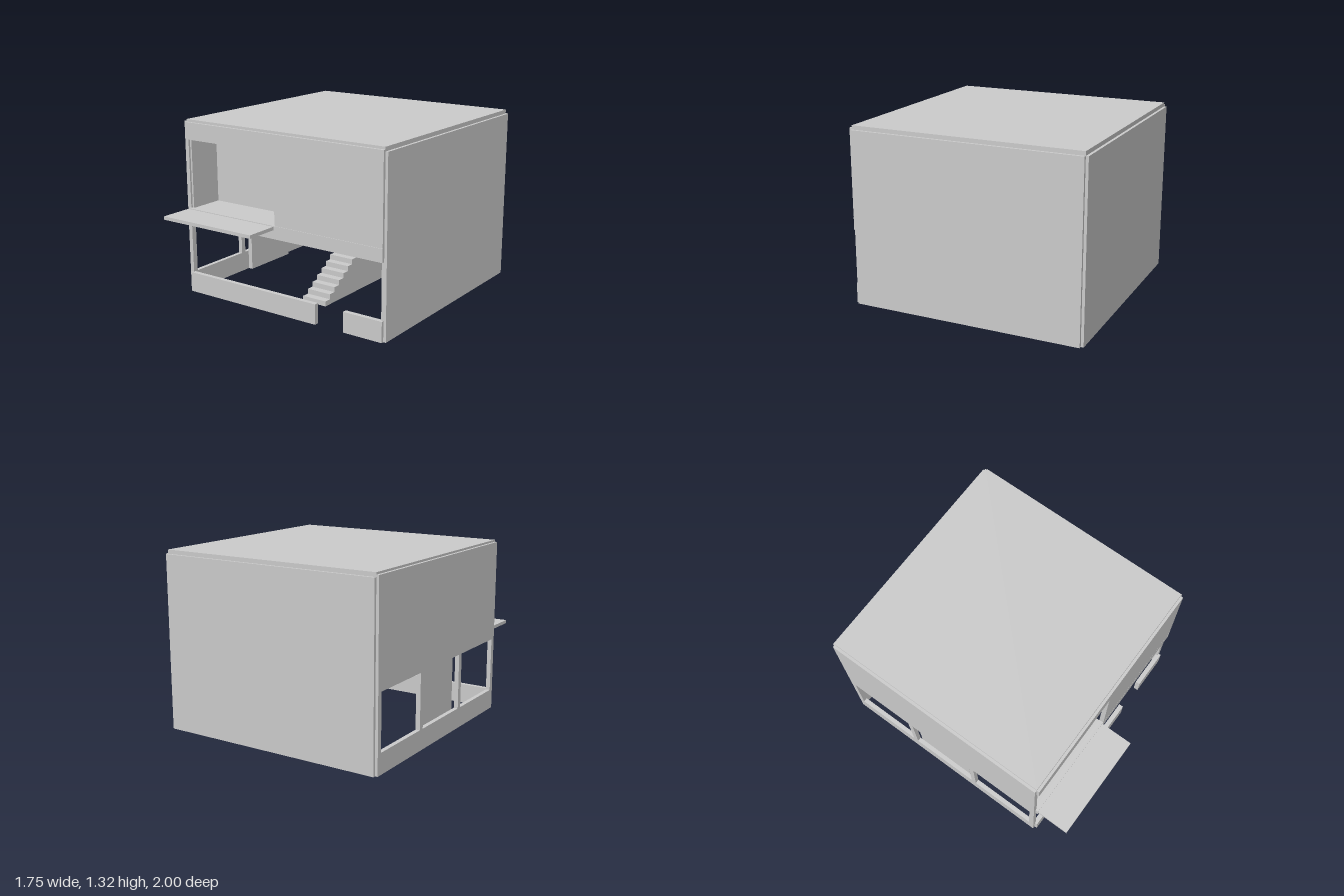
import * as THREE from 'three';

const material = new THREE.MeshStandardMaterial({ color: 0xcccccc, flatShading: true });

export function createModel() {
  const house = new THREE.Group();
  house.name = 'house';

  // Box given by its limits along each axis
  function slab(name, [x0, x1], [y0, y1], [z0, z1], parent = house) {
    const mesh = new THREE.Mesh(new THREE.BoxGeometry(x1 - x0, y1 - y0, z1 - z0), material);
    mesh.position.set((x0 + x1) / 2, (y0 + y1) / 2, (z0 + z1) / 2);
    mesh.name = name;
    parent.add(mesh);
    return mesh;
  }
  function part(name) {
    const group = new THREE.Group();
    group.name = name;
    house.add(group);
    return group;
  }

  const width = [-0.855, 0.855];
  const depth = [-0.98, 0.73];
  const frontZ = [0.715, 0.75];

  // Closed shell
  slab('roof', width, [1.285, 1.315], depth);
  slab('backWall', width, [0, 1.285], [-1, -0.965]);
  slab('rightWall', [0.837, 0.875], [0, 1.285], depth);

  // Left wall: low sill, posts and upper wall
  const left = part('leftWall');
  const leftX = [-0.875, -0.843];
  slab('leftSill', leftX, [0, 0.15], depth, left);
  slab('leftUpperWall', leftX, [0.555, 1.3], depth, left);
  for (const z of [-0.98, -0.43, 0.14, 0.69]) {
    slab('leftPost', leftX, [0.15, 0.555], [z, z + 0.04], left);
  }
  slab('leftInnerPanel', [-0.843, -0.808], [0, 0.61], [-0.37, 0.1], left);

  // Front wall: sills beside the entrance, floor band, upper wall and lintel
  const front = part('frontWall');
  slab('frontSillLong', [-0.855, 0.31], [0, 0.15], frontZ, front);
  slab('frontSillShort', [0.545, 0.855], [0, 0.15], frontZ, front);
  slab('frontBand', width, [0.555, 0.65], frontZ, front);
  slab('frontUpperWall', [-0.035, 0.855], [0.655, 1.17], frontZ, front);
  slab('frontUpperWallFoot', [-0.035, 0.855], [0.65, 0.655], [0.715, 0.745], front);
  slab('frontLintel', width, [1.17, 1.297], frontZ, front);

  // Balcony and upper floor with an open stairwell
  slab('balcony', [-0.855, -0.045], [0.62, 0.645], [0.75, 1]);
  slab('upperFloor', [-0.845, -0.037], [0.61, 0.648], [-0.97, 0.72]);
  slab('landing', [-0.037, 0.84], [0.61, 0.648], [-0.97, -0.48]);

  // Recess behind the balcony
  slab('recessBackWall', [-0.843, -0.2], [0.648, 1.285], [0.42, 0.45]);
  slab('recessSideWall', [-0.843, -0.829], [0.648, 1.285], [0.45, 0.715]);

  // Solid staircase, extruded from its stepped side outline
  const steps = 16, rise = 0.038, startZ = 0.43, run = 0.91 / steps;
  const outline = new THREE.Shape();
  outline.moveTo(0, 0);
  for (let i = 0; i < steps; i++) {
    outline.lineTo(i * run, (i + 1) * rise);
    outline.lineTo((i + 1) * run, (i + 1) * rise);
  }
  outline.lineTo(steps * run, 0);
  const stairs = new THREE.Mesh(
    new THREE.ExtrudeGeometry(outline, { depth: 0.203, bevelEnabled: false }), material);
  stairs.rotation.y = Math.PI / 2;
  stairs.position.set(-0.038, 0, startZ);
  stairs.name = 'stairs';
  house.add(stairs);

  return house;
}
